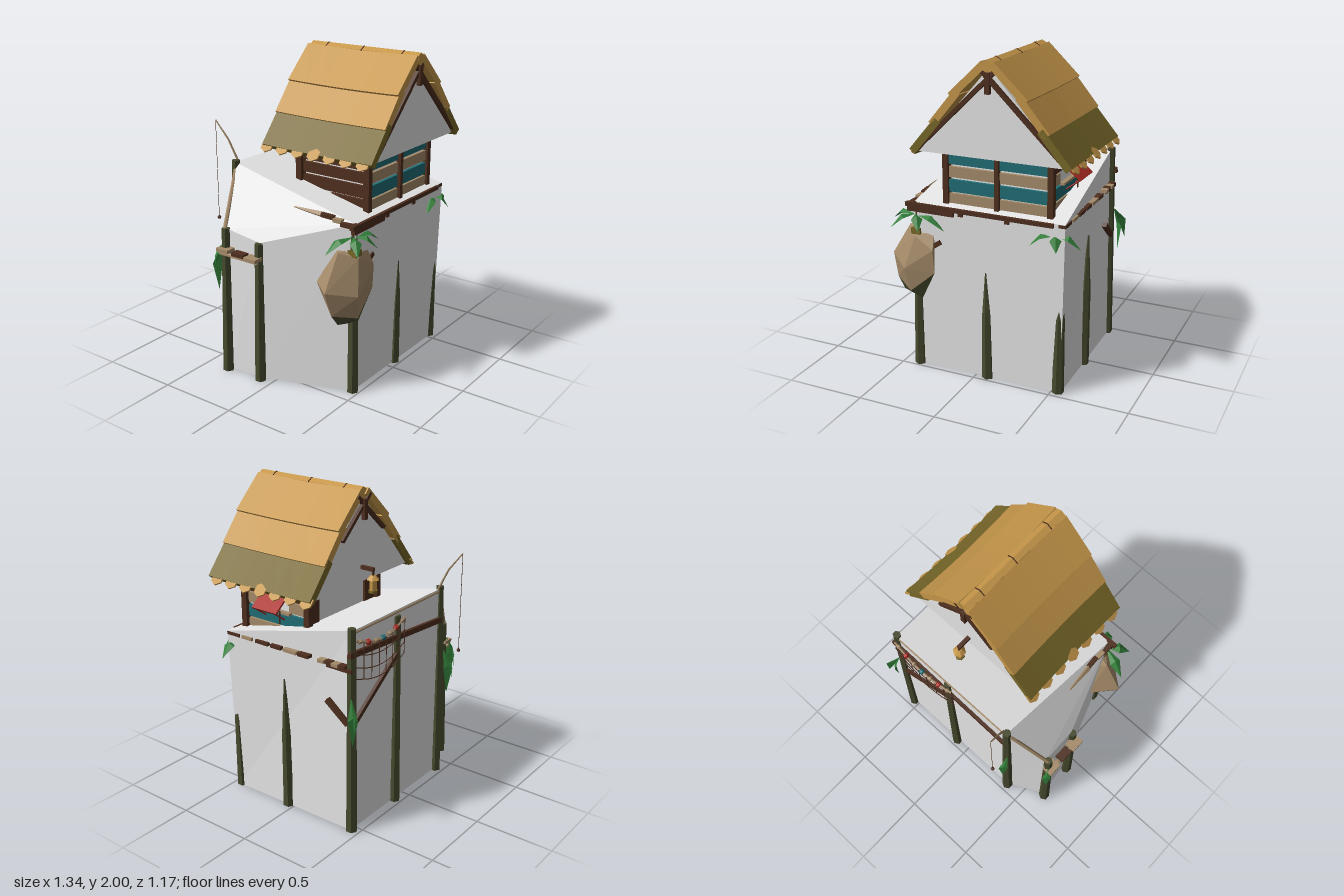
import * as THREE from 'three';
import { ConvexGeometry } from 'three/addons/geometries/ConvexGeometry.js';

const V = (x, y, z) => new THREE.Vector3(x, y, z);

export function createModel() {
  const root = new THREE.Group();
  root.name = 'stiltHut';
  const paint = (name, color, side = THREE.FrontSide) =>
    new THREE.MeshStandardMaterial({ name, color, side, flatShading: true });
  const white = paint('plaster', 0xe6e6e6);
  const gold = paint('straw', 0xc6974a);
  const olive = paint('oldStraw', 0x786829);
  const teal = paint('tealPaint', 0x206d75);
  const tan = paint('paleWood', 0xa58b6a);
  const brown = paint('darkWood', 0x4e2f1f);
  const post = paint('mossyPost', 0x474a2e);
  const green = paint('leaf', 0x33803a, THREE.DoubleSide);
  const red = paint('redCloth', 0xaa2a22);

  const add = (name, geo, mat, x = 0, y = 0, z = 0) => {
    const m = new THREE.Mesh(geo, mat);
    m.name = name;
    m.position.set(x, y, z);
    root.add(m);
    return m;
  };
  const box = (name, mat, w, h, d, x, y, z) => add(name, new THREE.BoxGeometry(w, h, d), mat, x, y, z);
  // square beam between two points
  const beam = (name, mat, a, b, w, h = w) => {
    const m = add(name, new THREE.BoxGeometry(w, h, a.distanceTo(b)), mat);
    m.position.copy(a).lerp(b, 0.5);
    m.lookAt(b);
  };
  // round rod between two points, r0 at the start and r1 at the end
  const rod = (name, mat, a, b, r0, r1 = r0, sides = 6) => {
    const m = add(name, new THREE.CylinderGeometry(r1, r0, a.distanceTo(b), sides), mat);
    m.position.copy(a).lerp(b, 0.5);
    m.quaternion.setFromUnitVectors(V(0, 1, 0), b.clone().sub(a).normalize());
  };
  // folded leaf from root a, over a raised middle m, to tip b
  const leaf = (a, m, b, side) => {
    const l = m.clone().add(side), r = m.clone().sub(side);
    const c = m.clone().add(V(0, 0.02, 0));
    const g = new THREE.BufferGeometry().setFromPoints([a, l, c, a, c, r, l, b, c, c, b, r]);
    g.computeVertexNormals();
    add('leaf', g, green);
  };

  // main body: six-sided footprint with a tilted top and a low side slope
  const foot = [[-0.4, 0.46], [0.56, 0.46], [0.55, -0.445], [-0.38, -0.445], [-0.61, -0.33], [-0.59, -0.08]];
  const rim = [[-0.4, 1.08, 0.475], [0.58, 1.08, 0.48], [0.53, 1.285, -0.445], [-0.375, 1.285, -0.445],
    [-0.6, 0.94, -0.33], [-0.59, 0.9, -0.08]];
  const B = foot.map(p => V(p[0], 0.003, p[1])), T = rim.map(p => V(...p));
  const tris = [];
  for (let i = 0; i < 6; i++) {
    const j = (i + 1) % 6;
    tris.push(B[i], B[j], T[j], B[i], T[j], T[i]);
    if (i > 0 && i < 5) tris.push(T[0], T[i], T[i + 1], B[0], B[i + 1], B[i]);
  }
  const bodyGeo = new THREE.BufferGeometry().setFromPoints(tris);
  bodyGeo.computeVertexNormals();
  add('body', bodyGeo, white);

  // standing posts: x, z, height
  for (const [x, z, h] of [[-0.385, 0.45, 1.06], [0.53, -0.44, 1.3], [0.1, -0.445, 1.25],
    [-0.375, -0.44, 1.3], [-0.615, -0.325, 0.95], [-0.6, -0.08, 0.9]]) {
    rod('post', post, V(x * 1.02, 0, z * 1.02), V(x, h, z), 0.036, 0.026);
  }
  // pointed stakes: x, z, shoulder height, tip x, tip z, tip height
  for (const [x, z, s, tx, tz, h] of [[0.08, 0.455, 0.42, 0.077, 0.472, 0.7],
    [0.54, 0.445, 0.48, 0.553, 0.452, 0.65], [0.55, 0.04, 0.5, 0.563, 0.04, 0.87]]) {
    const k = V(x, 0, z).lerp(V(tx, 0, tz), 0.4).setY(s);
    rod('stake', post, V(x, 0, z), k, 0.037, 0.03);
    rod('stakeTip', post, k, V(tx, h, tz), 0.03, 0.004);
  }

  // platform edging
  box('frontEdge', brown, 0.96, 0.025, 0.03, 0.03, 1.068, 0.48);
  box('frontEdgePlank', brown, 0.31, 0.035, 0.03, -0.28, 1.045, 0.48);
  for (const x of [-0.08, 0.22]) box('joistEnd', brown, 0.03, 0.03, 0.03, x, 1.05, 0.475);
  [0.43, 0.32, 0.2, 0.09, -0.02, -0.12].forEach((z, i) =>
    box('sidePlank', i % 3 === 1 ? tan : brown, 0.045, 0.02, i % 2 ? 0.08 : 0.1, 0.56, 1.068, z));
  [-0.25, -0.3, -0.35, -0.4].forEach((z, i) =>
    box('sidePlank', i % 2 ? brown : tan, i % 2 ? 0.055 : 0.07, 0.02, 0.045, 0.545, 1.068, z));
  beam('sideBeam', brown, V(0.55, 1.05, -0.28), V(0.55, 1.05, -0.46), 0.025);
  beam('sideBrace', brown, V(0.555, 0.83, -0.28), V(0.55, 0.71, -0.43), 0.03);
  // left platform planks, ending in a splintered board
  box('leftPlank', brown, 0.05, 0.025, 0.1, -0.41, 1.07, 0.44);
  box('leftPlank', tan, 0.055, 0.025, 0.06, -0.405, 1.085, 0.365);
  beam('leftPlank', brown, V(-0.41, 1.095, 0.335), V(-0.415, 1.1, 0.25), 0.035, 0.025);
  rod('splinter', tan, V(-0.42, 1.1, 0.25), V(-0.437, 1.115, 0.06), 0.02, 0.004, 4);
  // back rails and brace
  beam('backBeam', brown, V(0.57, 1.15, -0.452), V(-0.39, 1.08, -0.452), 0.025, 0.035);
  beam('backBrace', brown, V(0.53, 0.71, -0.452), V(0.1, 1.02, -0.452), 0.028);
  rod('topRail', tan, V(0.53, 1.27, -0.445), V(-0.38, 1.27, -0.445), 0.008);
  rod('slopeRail', tan, V(-0.37, 1.27, -0.44), V(-0.62, 0.94, -0.33), 0.012);
  // left ledge
  [-0.315, -0.2, -0.1].forEach((z, i) =>
    box('ledgePlank', i % 2 ? brown : tan, i % 2 ? 0.055 : 0.07, 0.022, 0.09, -0.637, 0.82 - i * 0.006, z));
  rod('ledgeRail', tan, V(-0.64, 0.79, -0.36), V(-0.64, 0.79, -0.06), 0.012);
  beam('frontBrace', brown, V(-0.38, 0.74, 0.46), V(-0.22, 0.85, 0.47), 0.03);

  // hanging boulder at the front corner, with a dark underside
  const seam = [V(-0.56, 0.55, 0.42), V(-0.42, 0.51, 0.51), V(-0.255, 0.65, 0.5), V(-0.42, 0.55, 0.28)];
  add('boulder', new ConvexGeometry([...seam, V(-0.6, 0.7, 0.4), V(-0.45, 0.66, 0.53), V(-0.26, 0.8, 0.51),
    V(-0.46, 0.7, 0.235), V(-0.47, 0.91, 0.4), V(-0.4, 0.91, 0.34), V(-0.39, 0.87, 0.49), V(-0.27, 0.91, 0.46)]), tan);
  add('boulderBase', new ConvexGeometry([...seam, V(-0.51, 0.48, 0.43), V(-0.36, 0.455, 0.47)]), post);
  box('boulderStrap', olive, 0.06, 0.04, 0.07, -0.385, 0.9, 0.455);

  // cabin
  const cx = 0.135;
  box('cabinCore', white, 0.62, 0.42, 0.46, cx, 1.23, 0.175);
  for (const x of [-0.2, 0.47]) for (const z of [-0.075, 0.42]) box('cabinPost', brown, 0.036, 0.4, 0.04, x, 1.25, z);
  box('cabinPost', brown, 0.028, 0.35, 0.03, cx, 1.25, 0.43);
  [[1.12, 0.065, tan], [1.2, 0.075, teal], [1.285, 0.065, tan], [1.367, 0.07, teal]].forEach(([y, h, mat], i) => {
    box('frontPlank', mat, 0.64, h, 0.02, cx, y, 0.415);
    box('leftPlank', brown, 0.02, h, 0.48, cx - 0.32, y, 0.175);
    if (i < 2) box('rightPlank', mat, 0.02, h, 0.48, cx + 0.32, y, 0.175);
    else if (i === 2) for (const z of [0.34, 0.01]) box('rightPlank', tan, 0.02, h, 0.13, cx + 0.32, y, z);
    else box('rightPlank', brown, 0.02, 0.08, 0.48, cx + 0.32, y, 0.175);
  });
  for (const x of [-0.14, 0.41]) box('backPlank', brown, 0.1, 0.28, 0.02, x, 1.28, -0.06);
  // awning over the side window
  beam('awning', red, V(0.49, 1.355, 0.165), V(0.585, 1.28, 0.165), 0.19, 0.012);
  for (const z of [0.09, 0.24]) rod('awningStay', red, V(0.49, 1.215, z), V(0.58, 1.28, z), 0.005);
  box('windowSill', tan, 0.03, 0.015, 0.22, 0.475, 1.25, 0.165);
  rod('windowHook', brown, V(0.51, 1.27, 0.11), V(0.51, 1.19, 0.11), 0.005);

  // gable block under the straw
  const gable = new THREE.Shape([[-0.325, 1.42], [0.595, 1.42], [cx, 1.945]].map(p => new THREE.Vector2(...p)));
  add('gable', new THREE.ExtrudeGeometry(gable, { depth: 0.735, bevelEnabled: false }), white, 0, 0, -0.21);

  // straw tiers, sagging slightly in the middle: outer low and high points, hidden overlap, colour
  const thick = 0.045, zMid = 0.162, depth = 0.785;
  for (const s of [-1, 1]) {
    for (const [u0, y0, u1, y1, lap, mat] of [[0.505, 1.435, 0.365, 1.6, 0.05, olive],
      [0.372, 1.61, 0.235, 1.775, 0.05, gold], [0.245, 1.785, 0.04, 1.98, 0, gold]]) {
      const ang = Math.atan2(y1 - y0, u0 - u1), len = Math.hypot(u0 - u1, y1 - y0) + lap;
      const g = new THREE.BoxGeometry(len, thick, depth, 1, 1, 6);
      g.translate(-s * len / 2, -thick / 2, 0);
      const p = g.attributes.position;
      for (let i = 0; i < p.count; i++) p.setY(i, p.getY(i) - 0.012 * (1 - (2 * p.getZ(i) / depth) ** 2));
      add('strawTier', g, mat, cx + s * u0, y0, zMid).rotation.z = -s * ang;
    }
    // thin pointed fringe under the eave
    for (let i = 0; i < 7; i++) {
      const g = new THREE.CylinderGeometry(0.045, 0.045, 0.009, 6).rotateY(Math.PI / 6);
      add('eaveFringe', g, gold, cx + s * 0.492, 1.426, 0.49 - i * 0.115).rotation.z = -s * 0.85;
    }
    // crossed barge boards, long in front and short at the back
    beam('bargeBoard', brown, V(cx + s * 0.45, 1.45, 0.54), V(cx - s * 0.06, 1.945, 0.54), 0.025);
    beam('bargeBoard', brown, V(cx + s * 0.2, 1.71, -0.222), V(cx - s * 0.06, 1.945, -0.222), 0.022);
  }
  // ridge log with ties
  rod('ridgeLog', gold, V(cx, 1.954, -0.22), V(cx, 1.954, 0.555), 0.038);
  for (const z of [-0.1, 0.16, 0.44]) rod('ridgeTie', brown, V(cx, 1.954, z - 0.003), V(cx, 1.954, z + 0.003), 0.041);
  for (const z of [0.55, -0.23]) box('kingPost', brown, 0.03, 0.12, 0.025, cx, 1.86, z);

  // lantern on an arm at the back
  beam('lanternArm', brown, V(cx, 1.51, -0.2), V(cx, 1.51, -0.3), 0.022);
  rod('lanternHook', brown, V(cx, 1.51, -0.295), V(cx, 1.46, -0.295), 0.008);
  rod('lanternCap', gold, V(cx, 1.45, -0.295), V(cx, 1.475, -0.295), 0.04, 0.015);
  rod('lanternGlass', gold, V(cx, 1.385, -0.295), V(cx, 1.45, -0.295), 0.024);
  rod('lanternBase', olive, V(cx, 1.37, -0.295), V(cx, 1.385, -0.295), 0.03);

  // fishing rod with line and bob
  rod('fishingRod', tan, V(-0.35, 1.28, -0.44), V(-0.37, 1.42, -0.5), 0.007, 0.006);
  rod('fishingRod', tan, V(-0.37, 1.42, -0.5), V(-0.388, 1.535, -0.585), 0.006, 0.004);
  rod('fishingLine', brown, V(-0.388, 1.535, -0.585), V(-0.388, 0.9, -0.585), 0.002, 0.002, 4);
  add('bob', new THREE.IcosahedronGeometry(0.013, 0), brown, -0.388, 0.9, -0.585);

  // net hung between the back posts, with coloured floats on its sagging rope
  const rope = (t, drop) => V(0.53 - 0.48 * t, 1.23 - drop - 0.2 * t * (1 - t), -0.468 - 0.015 * Math.sin(Math.PI * t));
  for (const drop of [0, 0.08, 0.16, 0.23]) {
    const c = new THREE.CatmullRomCurve3([0, 0.25, 0.5, 0.75, 1].map(t => rope(t, drop)));
    add('netRope', new THREE.TubeGeometry(c, 10, drop ? 0.003 : 0.008, 4), drop ? brown : tan);
  }
  for (let i = 0; i <= 7; i++) rod('netStrand', brown, rope(i / 7, 0), rope(i / 7, 0.23), 0.003, 0.003, 4);
  [tan, red, tan, teal, tan, red, tan].forEach((mat, i) => {
    const p = rope((i + 0.5) / 7, 0);
    add('netFloat', new THREE.IcosahedronGeometry(mat === tan ? 0.016 : 0.02, 0), mat, p.x, p.y, p.z);
  });

  // spreading leaves at the front corners: x, z, reach, directions
  for (const [x, z, r, turns] of [[-0.4, 0.46, 0.225, [0.3, 1.2, 2.1, 3.7]], [0.51, 0.465, 0.16, [-0.2, 1.3, 2.7]]]) {
    for (const a of turns) {
      const dx = Math.cos(a), dz = Math.sin(a) * 0.5;
      leaf(V(x, 1.0, z), V(x + dx * r * 0.55, 0.99, z + dz * r * 0.6), V(x + dx * r, 0.93, z + dz * r * 1.1),
        V(-dz, 0, dx).normalize().multiplyScalar(0.035));
    }
  }
  // hanging leaves on the back posts: x, z, top, drift outwards
  for (const [x, z, y, dx, dz] of [[0.555, -0.455, 0.89, 0.06, -0.06], [-0.4, -0.465, 0.87, -0.02, -0.06],
    [-0.635, -0.345, 0.85, -0.03, -0.04]]) {
    leaf(V(x, y, z), V(x + dx * 0.5, y - 0.13, z + dz * 0.6), V(x + dx * 0.4, y - 0.3, z + dz * 0.5), V(0.022, 0, 0.02));
    leaf(V(x, y, z), V(x + dx * 0.7, y - 0.09, z + dz * 0.9), V(x + dx, y - 0.21, z + dz * 1.1), V(0.02, 0, -0.02));
  }
  return root;
}
